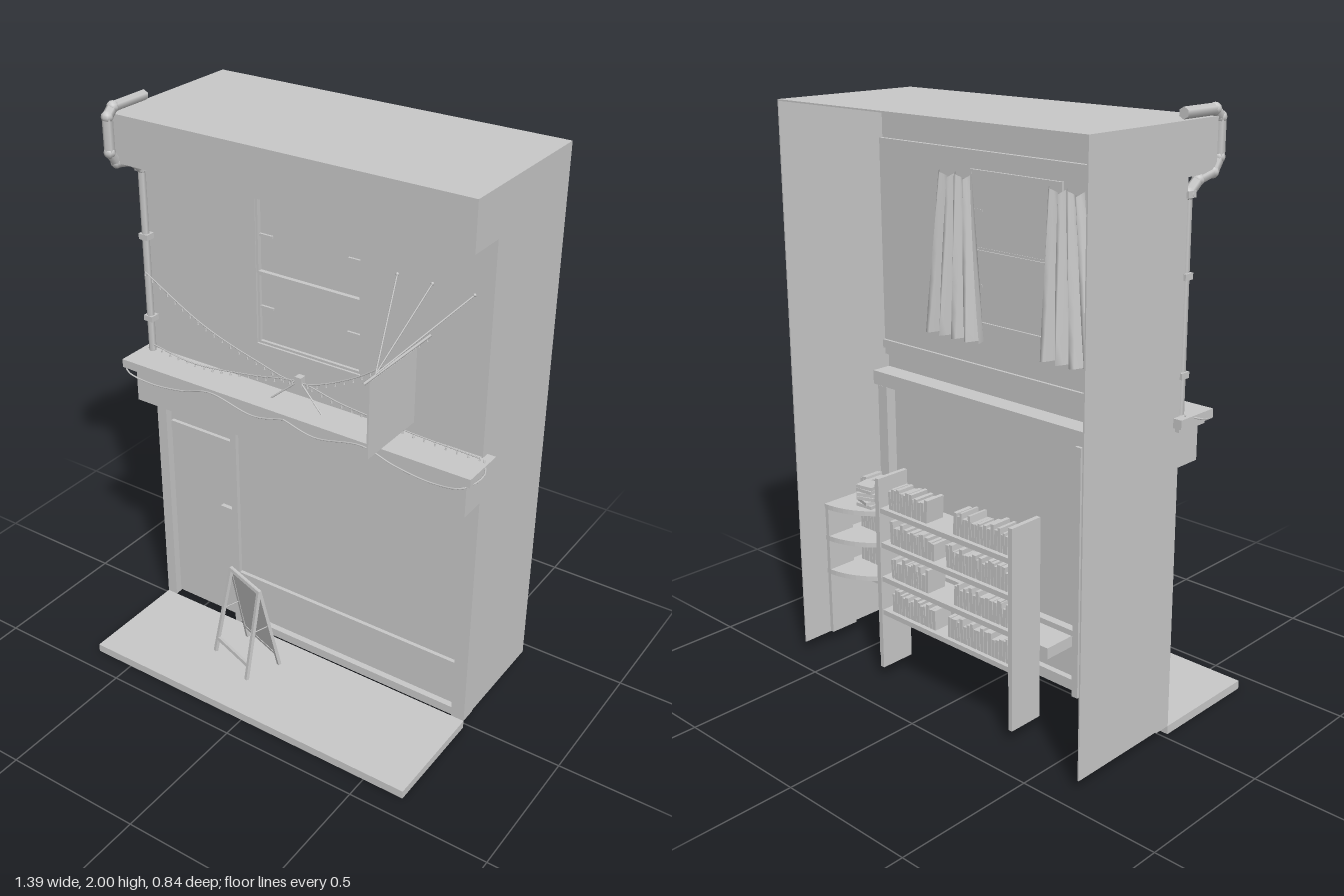
import * as THREE from 'three';

export function createModel() {
  const model = new THREE.Group();
  model.name = 'shopfront';
  const grey = new THREE.MeshStandardMaterial({ color: 0xc8c8c8, side: THREE.DoubleSide });
  grey.name = 'plain grey';

  const add = (name, geometry, parent = model) => {
    const mesh = new THREE.Mesh(geometry, grey);
    mesh.name = name;
    parent.add(mesh);
    return mesh;
  };
  // Box from its minimum and maximum corners
  const box = (name, x0, x1, y0, y1, z0, z1, parent) => {
    const mesh = add(name, new THREE.BoxGeometry(x1 - x0, y1 - y0, z1 - z0), parent);
    mesh.position.set((x0 + x1) / 2, (y0 + y1) / 2, (z0 + z1) / 2);
    return mesh;
  };
  const V = (p) => new THREE.Vector3(...p);
  const curve = (pts) => new THREE.CatmullRomCurve3(pts.map(V));
  const wire = (name, pts, r = 0.0025, segments = 24) =>
    add(name, new THREE.TubeGeometry(curve(pts), segments, r, 5));
  // Straight rod between two points
  const rod = (name, a, b, r, parent) => {
    const from = V(a), to = V(b), dir = to.clone().sub(from);
    const mesh = add(name, new THREE.CylinderGeometry(r, r, dir.length(), 6), parent);
    mesh.position.copy(from).add(to).multiplyScalar(0.5);
    mesh.quaternion.setFromUnitVectors(new THREE.Vector3(0, 1, 0), dir.normalize());
    return mesh;
  };
  // Rectangular frame facing z
  const frame = (name, x0, x1, y0, y1, z0, z1, t, parent) => {
    box(name, x0, x0 + t, y0, y1, z0, z1, parent);
    box(name, x1 - t, x1, y0, y1, z0, z1, parent);
    box(name, x0 + t, x1 - t, y0, y0 + t, z0, z1, parent);
    box(name, x0 + t, x1 - t, y1 - t, y1, z0, z1, parent);
  };
  let seed = 7;
  const random = () => (seed = (seed * 16807) % 2147483647) / 2147483647;

  // Shell: open back and open underside
  box('pavement', -0.65, 0.65, 0, 0.03, 0.02, 0.42);
  for (const s of [-1, 1]) {
    const wall = box('sideWall', 0.645, 0.65, 0.035, 1.955, -0.42, 0.02);
    wall.position.x *= s;
  }
  box('roof', -0.65, 0.65, 1.955, 1.96, -0.42, 0.155);
  box('cornice', -0.65, 0.65, 1.8, 1.955, 0.015, 0.155);

  // Upper wall with the window opening
  const wallShape = new THREE.Shape();
  wallShape.moveTo(-0.645, 1.03).lineTo(0.645, 1.03).lineTo(0.645, 1.8).lineTo(-0.645, 1.8).closePath();
  const hole = new THREE.Path();
  hole.moveTo(-0.2, 1.23).lineTo(-0.2, 1.74).lineTo(0.2, 1.74).lineTo(0.2, 1.23).closePath();
  wallShape.holes.push(hole);
  add('upperWall', new THREE.ExtrudeGeometry(wallShape, { depth: 0.015, bevelEnabled: false }));
  frame('windowSash', -0.2, 0.2, 1.48, 1.74, -0.01, 0.012, 0.008);
  frame('windowSash', -0.2, 0.2, 1.23, 1.48, -0.015, 0.007, 0.008);
  box('windowGlass', -0.195, 0.195, 1.235, 1.735, -0.008, -0.004);
  for (const x of [-0.17, 0.17]) for (const y of [1.36, 1.61]) {
    box('windowCatch', x - 0.028, x + 0.028, y - 0.004, y + 0.004, -0.01, 0.004);
  }

  // Sign band, ledge and inner beam
  box('signBand', -0.65, 0.65, 0.92, 1.04, 0.015, 0.115);
  box('ledgeMoulding', -0.665, 0.665, 1.04, 1.055, 0, 0.13);
  box('ledge', -0.68, 0.68, 1.055, 1.085, -0.01, 0.15);
  box('innerBeam', -0.645, 0.645, 0.93, 0.98, -0.06, 0.015);

  // Shop window and door
  box('pilaster', -0.65, -0.61, 0.03, 0.92, -0.04, 0.02);
  box('pilaster', 0.6, 0.65, 0.03, 0.92, -0.04, 0.02);
  box('doorPost', -0.325, -0.3, 0.03, 0.92, -0.05, 0.02);
  box('shopGlass', -0.3, 0.6, 0.26, 0.92, 0, 0.004);
  box('windowSill', -0.3, 0.6, 0.24, 0.26, -0.03, 0.018);
  box('stallRiser', -0.3, 0.6, 0.075, 0.24, -0.005, 0.005);
  box('bottomRail', -0.3, 0.6, 0.03, 0.062, -0.01, 0.015);
  box('door', -0.61, -0.325, 0.035, 0.915, -0.02, -0.008);
  box('doorTopPanel', -0.6, -0.335, 0.76, 0.8, -0.008, 0.006);
  box('doorHandle', -0.385, -0.335, 0.508, 0.516, -0.008, 0.008);
  box('displayBench', -0.28, 0.64, 0.2, 0.24, -0.15, -0.005);

  // Drainpipe bending around the cornice
  const pipe = [[-0.64, 1.98, 0], [-0.64, 1.98, 0.15], [-0.64, 1.955, 0.178], [-0.64, 1.84, 0.178],
    [-0.64, 1.8, 0.15], [-0.64, 1.785, 0.08], [-0.64, 1.75, 0.035], [-0.64, 1.085, 0.035]];
  for (let i = 1; i < pipe.length; i++) {
    rod('drainpipe', pipe[i - 1], pipe[i], i < 7 ? 0.018 : 0.013);
    if (i < 7) add('pipeJoint', new THREE.SphereGeometry(0.02, 8, 6)).position.set(...pipe[i]);
  }
  for (const y of [1.2, 1.5, 1.74]) box('pipeClip', -0.658, -0.622, y, y + 0.02, 0.014, 0.05);

  // Hanging sign with pole and stays
  box('hangingSign', 0.442, 0.448, 1.18, 1.435, 0.095, 0.355);
  rod('signPole', [0.445, 1.44, 0.015], [0.445, 1.44, 0.385], 0.005);
  for (const x of [0.325, 0.445, 0.585]) {
    rod('signStay', [0.445, 1.445, 0.32], [x, 1.61, 0.016], 0.0025);
    add('stayAnchor', new THREE.SphereGeometry(0.006, 6, 4)).position.set(x, 1.61, 0.016);
  }

  // Strings of small lamps, and loose cables on the ledge
  const strings = [
    [[-0.64, 1.385, 0.05], [-0.4, 1.255, 0.05], [-0.18, 1.185, 0.05], [0, 1.16, 0.06], [0.18, 1.225, 0.05], [0.32, 1.32, 0.04], [0.445, 1.44, 0.03]],
    [[-0.63, 1.11, 0.04], [-0.45, 1.095, 0.05], [-0.2, 1.125, 0.05], [0, 1.165, 0.06], [0.15, 1.13, 0.05], [0.4, 1.11, 0.05], [0.65, 1.095, 0.04]],
  ];
  for (const pts of strings) {
    wire('lampString', pts, 0.0025, 40);
    for (const p of curve(pts).getSpacedPoints(34)) {
      add('lamp', new THREE.ConeGeometry(0.004, 0.016, 5)).position.set(p.x, p.y - 0.006, p.z);
    }
  }
  for (const s of [-1, 1]) {
    wire('ledgeCable', [[s * 0.66, 1.088, 0.03], [s * 0.69, 1.07, 0.08], [s * 0.66, 1.05, 0.152], [s * 0.56, 1.032, 0.156],
      [s * 0.42, 1.045, 0.155], [s * 0.3, 1.075, 0.154], [s * 0.12, 1.045, 0.155], [0, 1.07, 0.153]], 0.003, 40);
    rod('lampBracket', [0, 1.17, 0.06], [s * 0.1, 1.085, 0.08], 0.003);
  }
  box('lampJunction', -0.012, 0.012, 1.15, 1.185, 0.045, 0.07);

  // Folding pavement board, turned to one side
  const board = new THREE.Group();
  board.name = 'pavementBoard';
  board.position.set(-0.155, 0, 0.175);
  board.rotation.y = -0.33;
  model.add(board);
  for (const s of [1, -1]) {
    const leaf = new THREE.Group();
    leaf.name = s > 0 ? 'frontLeaf' : 'backLeaf';
    leaf.position.y = 0.385;
    leaf.rotation.x = -s * 0.2;
    board.add(leaf);
    for (const x of [-1, 1]) {
      const leg = box('boardLeg', -0.006, 0.006, -0.355, 0, -0.006, 0.006, leaf);
      leg.position.x = x * 0.092;
      leg.rotation.z = x * 0.04;
    }
    box('boardRail', -0.09, 0.09, -0.012, 0, -0.006, 0.006, leaf);
    box('boardRail', -0.095, 0.095, -0.305, -0.293, -0.006, 0.006, leaf);
    if (s < 0) box('boardPanel', -0.088, 0.088, -0.293, -0.012, -0.004, 0.004, leaf);
  }
  for (const x of [-0.09, 0.09]) rod('boardBrace', [x, 0.22, -0.03], [x, 0.22, 0.03], 0.002, board);

  // Curtains: pleated sheets that widen downwards
  for (const [name, x] of [['leftCurtain', 0.225], ['rightCurtain', -0.255]]) {
    const g = new THREE.PlaneGeometry(1, 0.54, 24, 6);
    const p = g.attributes.position;
    for (let i = 0; i < p.count; i++) {
      const u = p.getX(i), drop = 0.5 - p.getY(i) / 0.54;
      const width = 0.16 + 0.11 * drop;
      p.setX(i, u * width + Math.sign(x) * 0.02 * drop);
      p.setZ(i, Math.sin(u * 28 + drop) * (0.012 + 0.02 * drop));
      p.setY(i, p.getY(i) + 0.012 * Math.cos(u * 14) * (1 - drop));
    }
    g.computeVertexNormals();
    add(name, g).position.set(x, 1.45, -0.05);
  }

  // Row of books standing between two x positions
  const bookRow = (x0, x1, y, z) => {
    for (let x = x0; x < x1;) {
      const w = 0.009 + random() * 0.009, h = 0.06 + random() * 0.025;
      const book = box('book', x, x + w * 0.85, y, y + h, z, z + 0.06 + random() * 0.02);
      book.rotation.z = (random() - 0.5) * 0.15;
      x += w;
    }
  };

  // Bookcase
  for (const x of [-0.31, 0.3]) box('bookcaseSide', x - 0.008, x + 0.008, 0.04, 0.74, -0.36, -0.23);
  [0.26, 0.385, 0.51, 0.635].forEach((y, i) => {
    box('bookcaseShelf', -0.302, 0.292, y - 0.018, y, -0.355, -0.235);
    bookRow(-0.28, -0.02 - 0.03 * (i % 2), y, -0.34);
    bookRow(0.05 + 0.03 * (i % 2), 0.26, y, -0.34);
  });

  // Rounded corner unit with books on top
  const quarter = new THREE.Shape();
  quarter.moveTo(0, 0).lineTo(0.27, 0).absarc(0, 0, 0.27, 0, Math.PI / 2).closePath();
  for (const y of [0.29, 0.42, 0.54]) {
    const shelf = add('cornerShelf', new THREE.ExtrudeGeometry(quarter, { depth: 0.018, bevelEnabled: false, curveSegments: 10 }));
    shelf.rotation.set(-Math.PI / 2, 0, Math.PI / 2);
    shelf.rotation.order = 'XYZ';
    shelf.rotation.set(-Math.PI / 2, 0, Math.PI / 2);
    shelf.position.set(0.643, y - 0.018, -0.04);
    bookRow(0.45, 0.61, y, -0.17);
  }
  box('cornerUnitSide', 0.365, 0.38, 0.04, 0.68, -0.3, -0.17);
  box('cornerUnitSide', 0.625, 0.64, 0.04, 0.54, -0.31, -0.2);
  for (let i = 0; i < 6; i++) {
    const book = box('stackedBook', 0.48, 0.55, 0.54 + i * 0.014, 0.552 + i * 0.014, -0.24, -0.18);
    book.rotation.y = (random() - 0.5) * 0.8;
  }
  return model;
}
